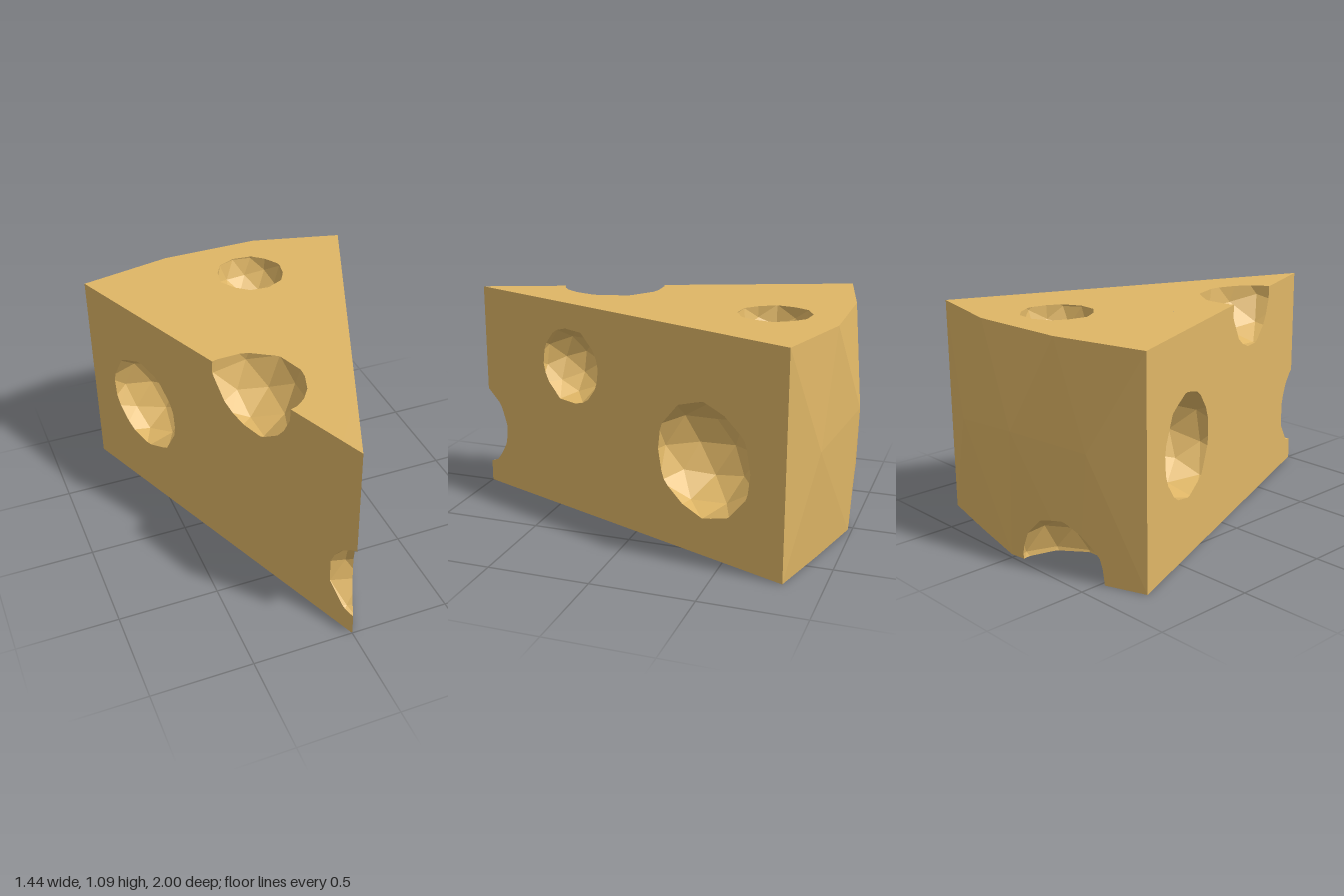
import * as THREE from 'three';
import { ConvexGeometry } from 'three/addons/geometries/ConvexGeometry.js';

const HEIGHT = 1.085;
const v = (x, y, z) => new THREE.Vector3(x, y, z);

// Triangles of a geometry as lists of three corners
function trianglesOf(geometry) {
  const g = geometry.index ? geometry.toNonIndexed() : geometry;
  const p = g.attributes.position;
  const out = [];
  for (let i = 0; i < p.count; i += 3) {
    out.push([0, 1, 2].map((k) => new THREE.Vector3().fromBufferAttribute(p, i + k)));
  }
  return out;
}

const planesOf = (triangles) =>
  triangles.map((t) => new THREE.Plane().setFromCoplanarPoints(t[0], t[1], t[2]));

// Cut a convex polygon into the parts in front of and behind a plane
function split(poly, plane) {
  const front = [], back = [];
  poly.forEach((a, i) => {
    const b = poly[(i + 1) % poly.length];
    const da = plane.distanceToPoint(a), db = plane.distanceToPoint(b);
    if (da > -1e-7) front.push(a);
    if (da < 1e-7) back.push(a);
    if ((da > 1e-7 && db < -1e-7) || (da < -1e-7 && db > 1e-7)) {
      const m = a.clone().lerp(b, da / (da - db));
      front.push(m);
      back.push(m);
    }
  });
  const inFront = poly.some((p) => plane.distanceToPoint(p) > 1e-7);
  const behind = poly.some((p) => plane.distanceToPoint(p) < -1e-7);
  return [inFront && front.length > 2 ? front : null, behind && back.length > 2 ? back : null];
}

// Parts of a polygon inside and outside a convex solid
function cut(poly, planes) {
  const outside = [];
  let rest = poly;
  for (const plane of planes) {
    const [front, back] = split(rest, plane);
    if (front) outside.push(front);
    if (!back) return { inside: null, outside: [poly] };
    rest = back;
  }
  return { inside: rest, outside };
}

function meshOf(polys, material, name) {
  const points = [];
  for (const p of polys) {
    for (let i = 1; i < p.length - 1; i++) points.push(p[0], p[i], p[i + 1]);
  }
  const geometry = new THREE.BufferGeometry().setFromPoints(points);
  geometry.computeVertexNormals();
  const mesh = new THREE.Mesh(geometry, material);
  mesh.name = name;
  return mesh;
}

export function createModel() {
  const group = new THREE.Group();
  group.name = 'cheeseWedge';
  const cheese = new THREE.MeshStandardMaterial({ color: 0xdfb666 });
  cheese.name = 'cheese yellow';

  // Wedge: a pointed front and a faceted, bulging back
  const corners = [];
  for (const y of [0, HEIGHT]) corners.push(v(0, y, 1), v(0.72, y, -0.815), v(-0.72, y, -0.815));
  corners.push(
    v(0.26, HEIGHT, -0.93), v(-0.25, HEIGHT, -0.92),
    v(0.47, 0.55, -0.915), v(-0.02, 0.62, -1), v(-0.45, 0.6, -0.92),
    v(0.38, 0, -0.9), v(0.03, 0, -0.98), v(-0.4, 0, -0.93),
  );
  const wedge = trianglesOf(new ConvexGeometry(corners));
  const wedgePlanes = planesOf(wedge);

  // Holes: name, centre, radius
  const holes = [
    ['leftSideSmallHole', v(0.235, 0.765, 0.41), 0.2],
    ['leftSideLargeHole', v(0.55, 0.47, -0.385), 0.285],
    ['rightSideHole', v(-0.56, 0.545, -0.41), 0.26],
    ['topEdgeBite', v(-0.26, 1.09, 0.36), 0.275],
    ['topHole', v(0.115, 1.08, -0.6), 0.18],
    ['tipNotch', v(-0.045, 0.315, 1.075), 0.235],
    ['bottomHole', v(0.1, 0, 0.01), 0.195],
    ['backBottomNotch', v(-0.29, 0.01, -0.94), 0.25],
  ];

  let skin = wedge;
  holes.forEach(([name, centre, radius], i) => {
    const ball = new THREE.IcosahedronGeometry(radius, 1);
    ball.rotateX(0.7 * i + 0.3).rotateY(1.1 * i + 0.5);
    ball.translate(centre.x, centre.y, centre.z);
    const faces = trianglesOf(ball);
    const ballPlanes = planesOf(faces);

    // Open the skin, then line the hollow with inward-facing facets
    skin = skin.flatMap((poly) => cut(poly, ballPlanes).outside);
    const lining = faces
      .map((face) => cut(face, wedgePlanes).inside)
      .filter(Boolean)
      .map((poly) => poly.slice().reverse());
    group.add(meshOf(lining, cheese, name));
  });
  group.add(meshOf(skin, cheese, 'wedgeSkin'));
  return group;
}
